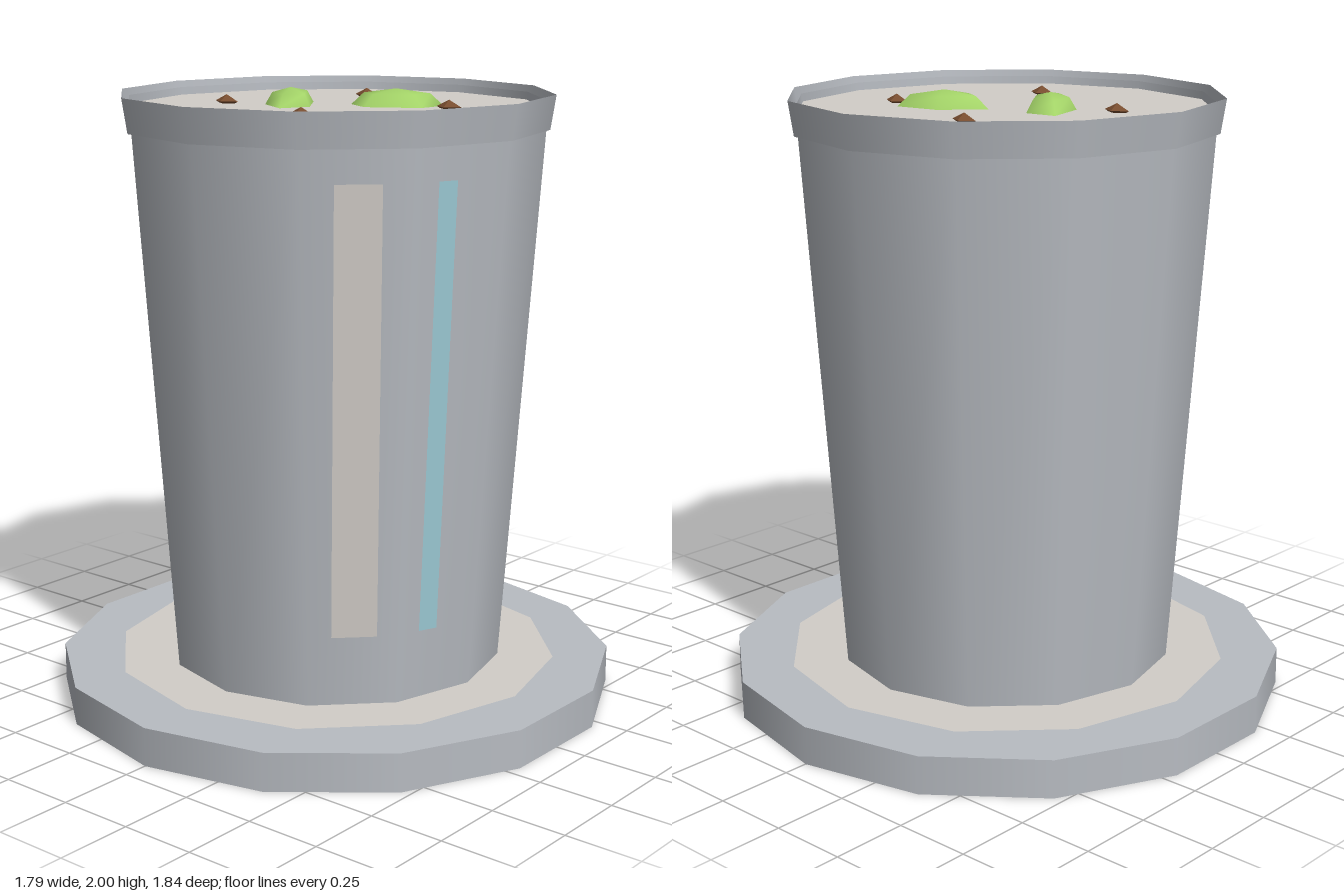
import * as THREE from 'three';

const mat = (name, color, side = THREE.FrontSide) => {
  const m = new THREE.MeshStandardMaterial({ color, side });
  m.name = name;
  return m;
};

// Smooth dome over a polygon outline of [x, z] points
function domeGeometry(outline, baseY, height) {
  const n = outline.length;
  const cx = outline.reduce((s, p) => s + p[0], 0) / n;
  const cz = outline.reduce((s, p) => s + p[1], 0) / n;
  const pos = [];
  const index = [];
  for (const [r, h] of [[1, 0], [0.72, 0.71]]) {
    for (const [x, z] of outline) {
      pos.push(cx + (x - cx) * r, baseY + h * height, cz + (z - cz) * r);
    }
  }
  pos.push(cx, baseY + height, cz);
  for (let i = 0; i < n; i++) {
    const j = (i + 1) % n;
    index.push(i, n + i, j, j, n + i, n + j, n + i, 2 * n, n + j);
  }
  const g = new THREE.BufferGeometry();
  g.setAttribute('position', new THREE.Float32BufferAttribute(pos, 3));
  g.setIndex(index);
  g.computeVertexNormals();
  return g;
}

export function createModel() {
  const model = new THREE.Group();
  const grey = mat('grey', 0xb8bcc2, THREE.DoubleSide);
  const cream = mat('cream', 0xd2cec8);
  const blue = mat('paleBlue', 0x9dcbd6);
  const green = mat('leafGreen', 0xa4d468);
  const brown = mat('brown', 0x7a4e30);
  brown.flatShading = true;

  const add = (name, geometry, material) => {
    const mesh = new THREE.Mesh(geometry, material);
    mesh.name = name;
    model.add(mesh);
    return mesh;
  };
  // Upright cylinder given by its bottom and top heights
  const drum = (rTop, rBottom, y0, y1, sides, open) =>
    new THREE.CylinderGeometry(rTop, rBottom, y1 - y0, sides, 1, open).translate(0, (y0 + y1) / 2, 0);
  const disc = (r, y, sides) =>
    new THREE.CircleGeometry(r, sides).rotateX(-Math.PI / 2).translate(0, y, 0);

  // Coaster with inset pad
  add('coaster', drum(0.92, 0.92, 0, 0.125, 14, false), grey);
  add('coasterPad', disc(0.735, 0.128, 12), cream);

  // Open tapered cup and flared rim
  add('cupWall', drum(0.677, 0.55, 0.125, 1.97, 12, true), grey);
  add('cupRim', drum(0.7, 0.683, 1.88, 1.99, 12, true), grey);

  // Drink surface
  const liquidY = 1.945;
  add('drinkSurface', disc(0.672, liquidY, 12), cream);

  // Highlight strips leaning with the wall
  const strip = (name, width, angle, material) => {
    const g = new THREE.PlaneGeometry(width, 1.413)
      .rotateX(Math.atan2(0.087, 1.41))
      .translate(0, 1.075, 0.63)
      .rotateY(THREE.MathUtils.degToRad(angle));
    add(name, g, material);
  };
  strip('wideStrip', 0.142, 45, cream);
  strip('narrowStrip', 0.064, 68.7, blue);

  // Floating leaves
  const leaves = [
    [[0, -0.08], [0.11, -0.2], [0.265, -0.22], [0.26, -0.11], [0.1, -0.02]],
    [[-0.26, -0.06], [-0.15, -0.07], [-0.04, 0.08], [-0.08, 0.18], [-0.21, 0.1]],
  ];
  leaves.forEach((outline, i) => add(`leaf${i + 1}`, domeGeometry(outline, liquidY, 0.055), green));

  // Floating seeds
  const seeds = [[-0.145, -0.343], [0.34, -0.147], [-0.34, 0.14], [0.142, 0.336]];
  seeds.forEach(([x, z], i) => {
    const seed = add(`seed${i + 1}`, new THREE.OctahedronGeometry(1), brown);
    seed.scale.set(0.048, 0.022, 0.03);
    seed.position.set(x, liquidY + 0.006, z);
  });

  return model;
}
